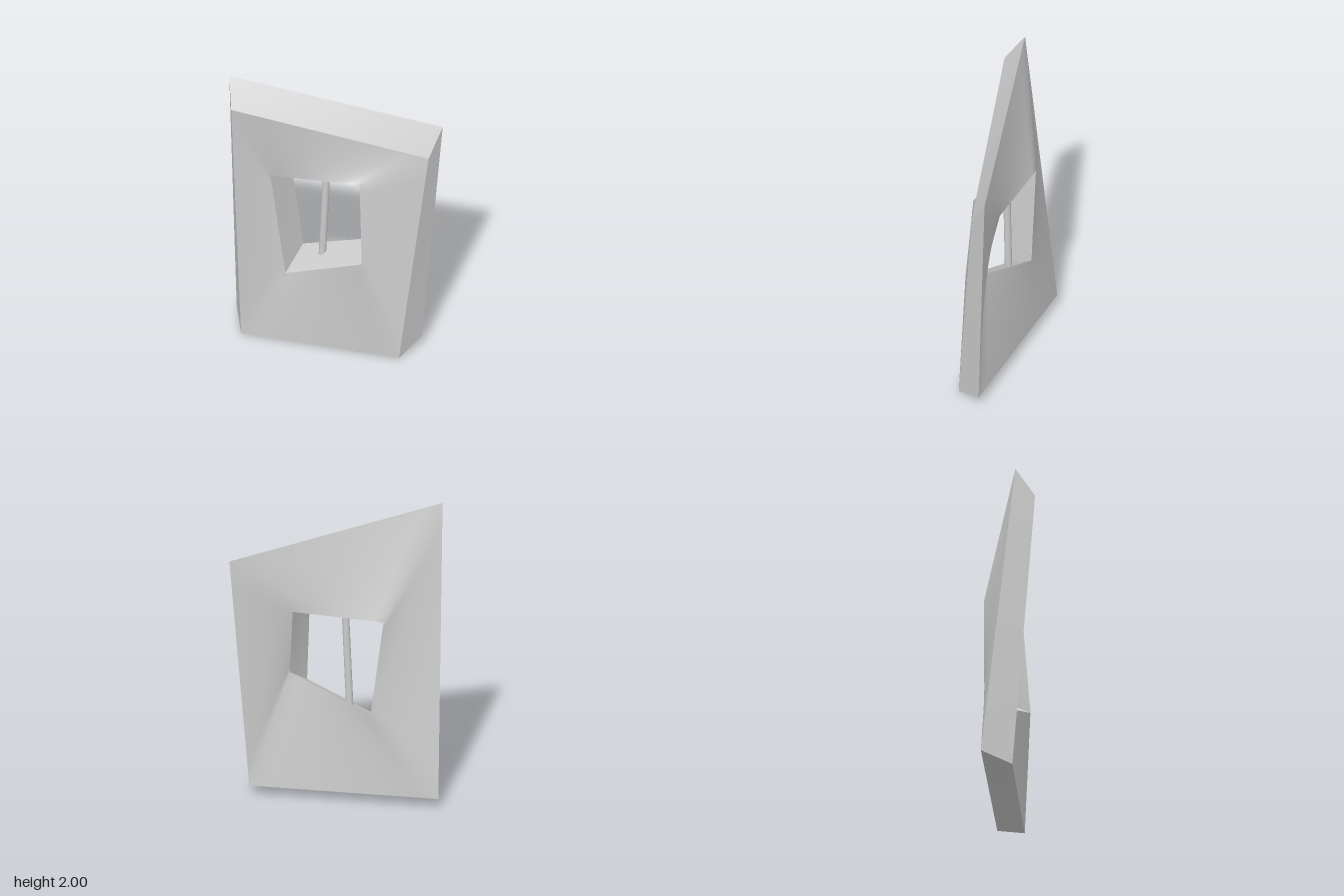
import * as THREE from 'three';
import { mergeGeometries, mergeVertices } from 'three/addons/utils/BufferGeometryUtils.js';

const V = (x, y, z) => new THREE.Vector3(x, y, z);
const SEG = 10;

// Loops of corners: top right, bottom right, bottom left, top left (model's own sides)
const frontOuter = [V(-0.6, 1.83, 0.21), V(-0.575, 0.005, 0.065), V(0.44, 0, 0.055), V(0.59, 1.46, -0.1)];
const backOuter = [V(-0.645, 2, 0.09), V(-0.655, 0.07, -0.125), V(0.54, 0.07, -0.125), V(0.65, 1.635, -0.215)];
const frontInner = [V(-0.385, 1.265, 0.07), V(-0.295, 0.51, 0.045), V(0.215, 0.72, 0.11), V(0.19, 1.295, 0.068)];
const backInner = [V(-0.31, 1.255, -0.135), V(-0.23, 0.62, -0.14), V(0.297, 0.832, -0.05), V(0.262, 1.29, -0.146)];

// Ruled patch through four corners, counter-clockwise seen from outside
function patch(a, b, c, d) {
  const pos = [], index = [];
  for (let i = 0; i <= SEG; i++) {
    for (let j = 0; j <= SEG; j++) {
      const left = a.clone().lerp(b, i / SEG), right = d.clone().lerp(c, i / SEG);
      pos.push(...left.lerp(right, j / SEG).toArray());
    }
  }
  for (let i = 0; i < SEG; i++) {
    for (let j = 0; j < SEG; j++) {
      const p = i * (SEG + 1) + j, q = p + SEG + 1;
      index.push(p, q, q + 1, p, q + 1, p + 1);
    }
  }
  const geo = new THREE.BufferGeometry();
  geo.setAttribute('position', new THREE.Float32BufferAttribute(pos, 3));
  geo.setIndex(index);
  return geo;
}

// Four patches bridging two corner loops; smooth welds them, otherwise corners stay sharp
function bridge(from, to, smooth) {
  const sides = from.map((p, i) => {
    const j = (i + 1) % 4;
    return patch(p, from[j], to[j], to[i]);
  });
  let geo = mergeGeometries(sides);
  if (smooth) geo = mergeVertices(geo, 1e-5);
  geo.computeVertexNormals();
  return geo;
}

export function createModel() {
  const group = new THREE.Group();
  group.name = 'wallPanel';
  const material = new THREE.MeshStandardMaterial({ color: 0xcccccc });
  const add = (name, geo) => {
    const mesh = new THREE.Mesh(geo, material);
    mesh.name = name;
    group.add(mesh);
    return mesh;
  };

  // Skewed wall with a window opening
  add('frontFace', bridge(frontOuter, frontInner, true));
  add('backFace', bridge(backInner, backOuter, true));
  add('outerEdges', bridge(backOuter, frontOuter, false));
  add('windowReveal', bridge(frontInner, backInner, false));

  // Slender bar standing in the opening, its ends sunk into the wall
  const foot = V(-0.083, 0.61, -0.05), head = V(-0.053, 1.31, -0.05);
  const axis = head.clone().sub(foot);
  const bar = add('windowBar', new THREE.CylinderGeometry(0.023, 0.023, axis.length(), 24));
  bar.position.copy(foot).lerp(head, 0.5);
  bar.quaternion.setFromUnitVectors(V(0, 1, 0), axis.normalize());

  return group;
}
